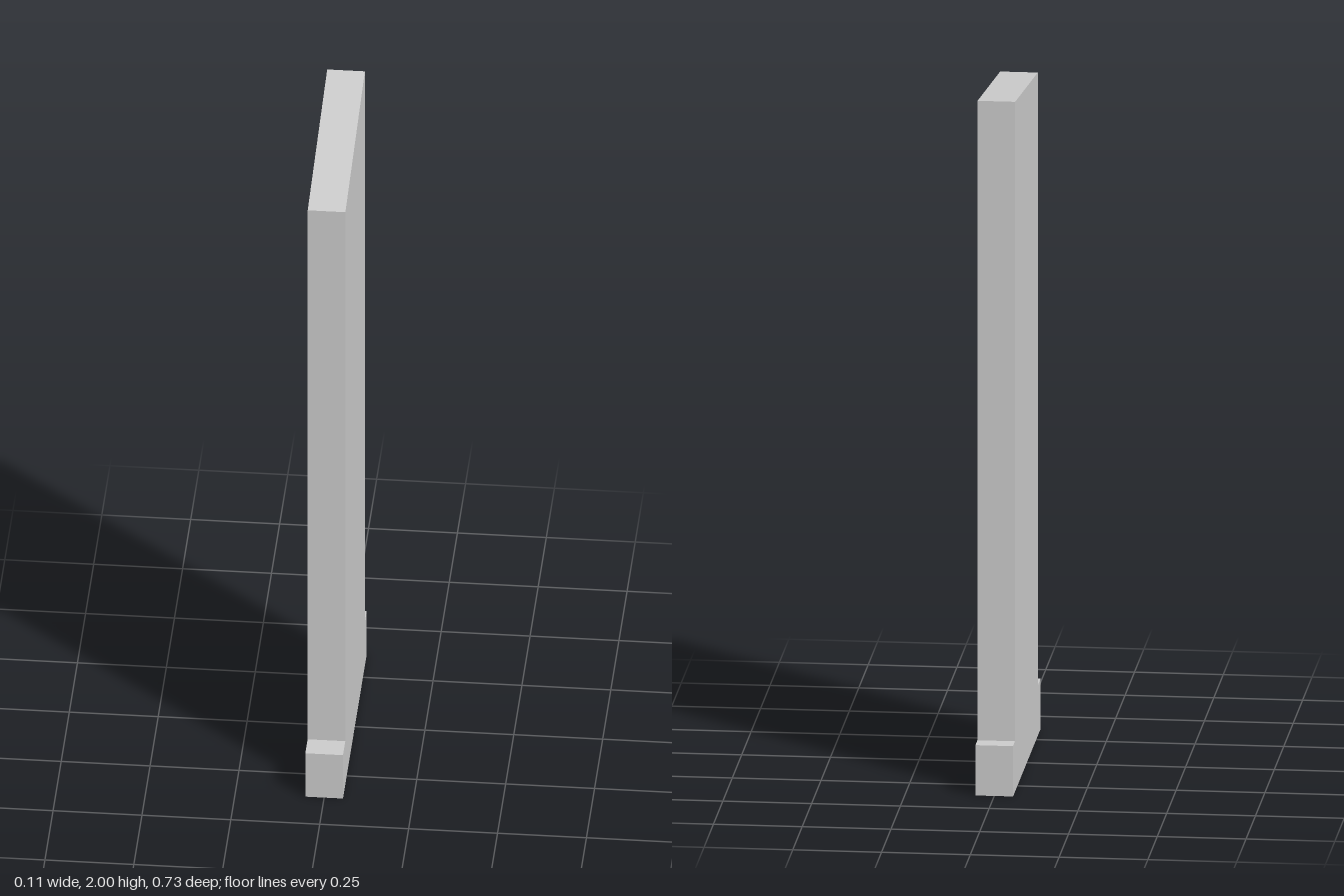
import * as THREE from 'three';

export function createModel() {
  const group = new THREE.Group();
  const width = 0.106;

  // Side outline as [z, y]: stepped foot, tall slab, sloping top
  const outline = [
    [-0.365, 0], [0.365, 0], [0.365, 0.146], [0.294, 0.146],
    [0.291, 1.924], [-0.309, 2], [-0.312, 0.146], [-0.365, 0.146],
  ];
  const shape = new THREE.Shape(outline.map(([z, y]) => new THREE.Vector2(z, y)));

  // Extrude across the thickness, then turn the outline into the z-y plane
  const geometry = new THREE.ExtrudeGeometry(shape, { depth: width, bevelEnabled: false });
  geometry.translate(0, 0, -width / 2);
  geometry.rotateY(-Math.PI / 2);

  const slab = new THREE.Mesh(geometry, new THREE.MeshStandardMaterial({ color: 0xcccccc, flatShading: true }));
  slab.name = 'slabWithFoot';
  group.add(slab);
  return group;
}
